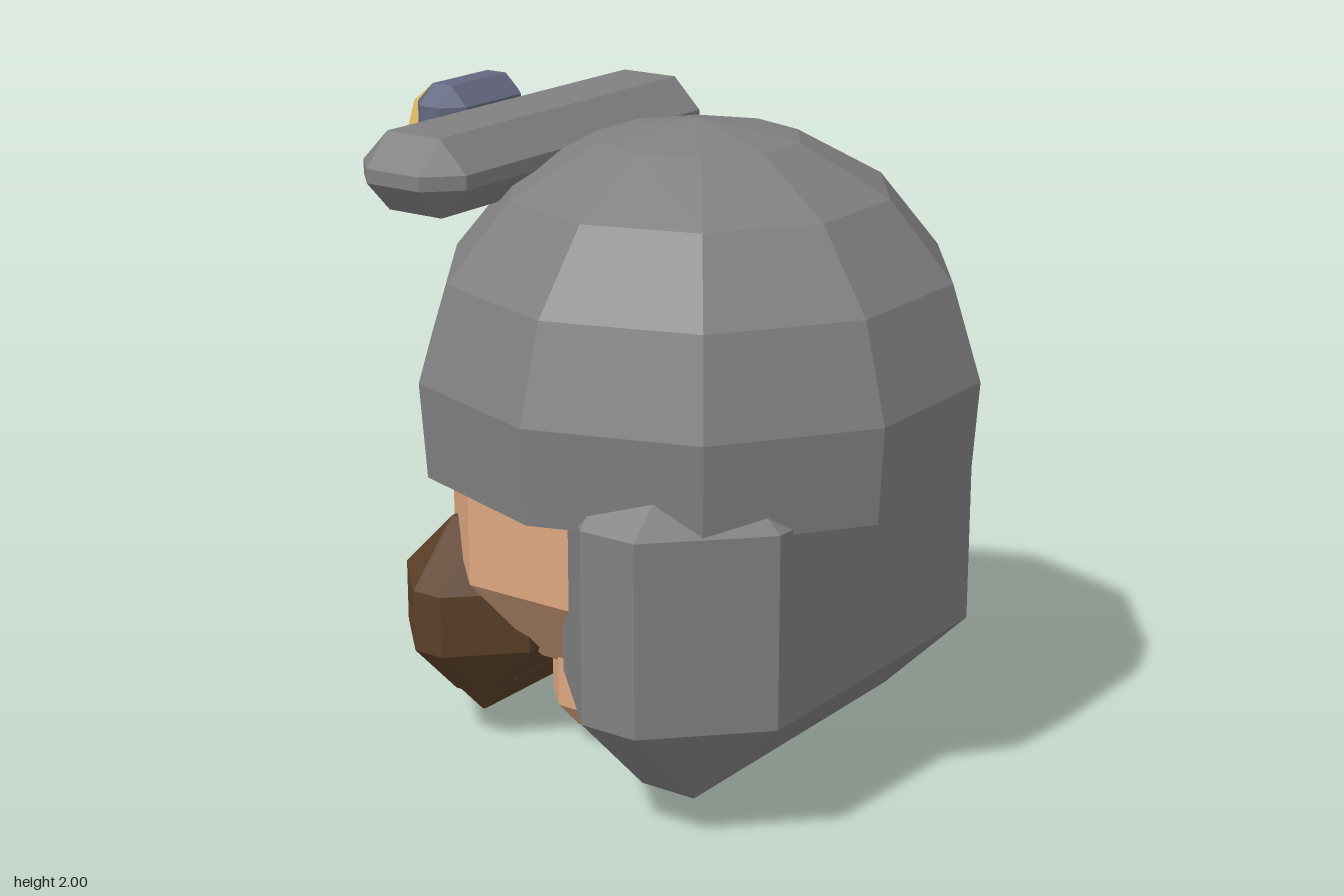
import * as THREE from 'three';
import { ConvexGeometry } from 'three/addons/geometries/ConvexGeometry.js';

const mat = (name, color) => {
  const m = new THREE.MeshStandardMaterial({ color });
  m.name = name;
  return m;
};

// Box given by min/max per axis with every edge bevelled by c
function bevelBox([x0, x1], [y0, y1], [z0, z1], c) {
  const h = [(x1 - x0) / 2, (y1 - y0) / 2, (z1 - z0) / 2];
  const pts = [];
  for (const sx of [-1, 1]) for (const sy of [-1, 1]) for (const sz of [-1, 1])
    for (let axis = 0; axis < 3; axis++) {
      const d = h.map((v, i) => (i === axis ? v : v - c));
      pts.push(new THREE.Vector3(sx * d[0], sy * d[1], sz * d[2]));
    }
  return new ConvexGeometry(pts).translate((x0 + x1) / 2, (y0 + y1) / 2, (z0 + z1) / 2);
}

function faceted(geometry) {
  const g = geometry.index ? geometry.toNonIndexed() : geometry;
  g.computeVertexNormals();
  return g;
}

export function createModel() {
  const group = new THREE.Group();
  const grey = mat('grey', 0x808080);
  const skin = mat('skin', 0xdca680);
  const brown = mat('darkBrown', 0x5c4029);
  const slate = mat('slateBlue', 0x646880);
  const gold = mat('gold', 0xd6b25c);

  const add = (name, geometry, material) => {
    const mesh = new THREE.Mesh(geometry, material);
    mesh.name = name;
    group.add(mesh);
    return mesh;
  };
  const sym = (w) => [-w, w];

  // Ten-sided dome with a short, slightly tapered rim
  const profile = [[0, 0.96], [0.84, 0.96], [0.86, 1.25], [0.77, 1.54],
    [0.578, 1.775], [0.308, 1.925], [0, 1.978]].map(([r, y]) => new THREE.Vector2(r, y));
  const dome = new THREE.LatheGeometry(profile, 10).rotateY(Math.PI / 2).translate(0, 0, 0.095);
  add('helmetDome', faceted(dome), grey);

  // Guard around the back and sides of the head
  add('neckGuard', bevelBox(sym(0.82), [0.1, 1.265], [-0.02, 0.745], 0.29), grey);

  // Head and neck
  add('head', bevelBox(sym(0.63), [0.29, 1.45], [-0.63, 0.63], 0.34), skin);
  add('neck', bevelBox(sym(0.31), [0.05, 0.45], [-0.31, 0.27], 0.1), skin);
  add('nose', bevelBox(sym(0.095), [0.68, 0.96], [-0.77, -0.56], 0.055), skin);

  // Facial hair
  add('moustache', bevelBox(sym(0.58), [0.15, 0.725], [-0.745, -0.26], 0.19), brown);
  add('beard', bevelBox(sym(0.34), [0, 0.4], [-0.745, -0.46], 0.138), brown);

  // Slim eyes, partly sunk under the rim
  for (const [name, s] of [['leftEye', 1], ['rightEye', -1]]) {
    const x = [s * 0.3, s * 0.385].sort((a, b) => a - b);
    add(name, bevelBox(x, [0.95, 1.145], [-0.665, -0.585], 0.015), brown);
  }

  // Visor bar with a headlamp
  add('visorBar', bevelBox(sym(0.675), [1.72, 1.955], [-0.7, -0.31], 0.096), grey);
  add('lampBody', bevelBox(sym(0.193), [1.67, 2], [-0.868, -0.675], 0.06), slate);
  const lens = new THREE.CylinderGeometry(0.135, 0.135, 0.075, 8).rotateX(-Math.PI / 2)
    .translate(0, 1.835, -0.8775);
  add('lampLens', faceted(lens), gold);

  return group;
}
